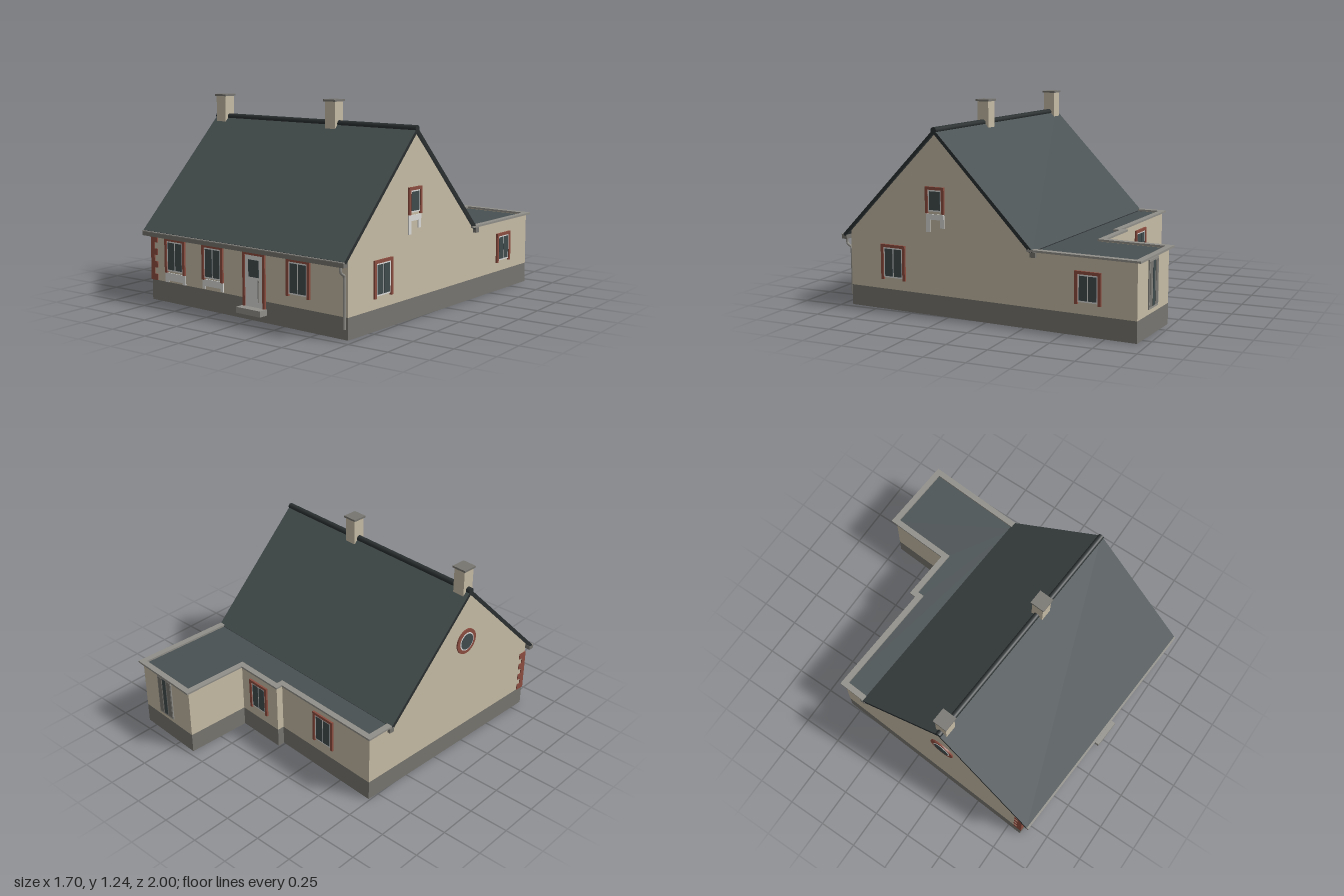
import * as THREE from 'three';

const mat = (name, color, side = THREE.FrontSide) => {
  const m = new THREE.MeshStandardMaterial({ color, side });
  m.name = name;
  return m;
};

export function createModel() {
  const wall = mat('beige render', 0xc6bba5, THREE.DoubleSide);
  const plinthMat = mat('plinth grey', 0x777570, THREE.DoubleSide);
  const slate = mat('slate', 0x495152);
  const trim = mat('dark trim', 0x2b3031);
  const brick = mat('brick red', 0x8c4d40);
  const white = mat('white paint', 0xdadad8);
  const glass = mat('glass', 0x414b4d);
  const grey = mat('light grey', 0x918f89);

  const house = new THREE.Group();
  house.name = 'house';

  const add = (parent, name, geo, material, x = 0, y = 0, z = 0) => {
    const m = new THREE.Mesh(geo, material);
    m.name = name;
    m.position.set(x, y, z);
    parent.add(m);
    return m;
  };
  const box = (parent, name, material, w, h, d, x, y, z) =>
    add(parent, name, new THREE.BoxGeometry(w, h, d), material, x, y, z);
  const shape = (pts) => new THREE.Shape(pts.map(([a, b]) => new THREE.Vector2(a, b)));
  // upright profile given as [z, y], extruded along x
  const extrudeX = (pts, len) =>
    new THREE.ExtrudeGeometry(shape(pts), { depth: len, bevelEnabled: false }).rotateY(-Math.PI / 2).translate(len, 0, 0);
  // floor outline given as [x, z], extruded upward
  const extrudeY = (pts, h) =>
    new THREE.ExtrudeGeometry(shape(pts.map(([x, z]) => [x, -z])), { depth: h, bevelEnabled: false }).rotateX(-Math.PI / 2);

  // Main dimensions
  const L = -0.775, R = 0.765, F = 0.893, ridgeZ = 0.283, plinthH = 0.125, flatH = 0.45;

  // Outline of the house, anticlockwise seen from above
  const plan = [[L, F], [R, F], [R, -0.99], [0.306, -0.99], [0.306, -0.57],
    [-0.022, -0.57], [-0.022, -0.525], [L, -0.525]];
  plan.forEach(([x0, z0], i) => {
    const [x1, z1] = plan[(i + 1) % plan.length];
    const len = Math.hypot(x1 - x0, z1 - z0);
    const strip = (name, material, y0, y1) => {
      const m = add(house, name, new THREE.PlaneGeometry(len, y1 - y0), material,
        (x0 + x1) / 2, (y0 + y1) / 2, (z0 + z1) / 2);
      m.rotation.y = Math.atan2(-(z1 - z0), x1 - x0);
    };
    strip('plinth', plinthMat, 0, plinthH);
    if (i !== 1 && i !== 7) strip('wall', wall, plinthH, i === 0 ? 0.46 : flatH);
  });

  // Gable walls running on into the rear extension
  for (const [x, back, name] of [[L, -0.525, 'leftGable'], [R, -0.99, 'rightGable']]) {
    const g = new THREE.ShapeGeometry(shape([[F, plinthH], [F, 0.462], [ridgeZ, 1.078],
      [-0.34, flatH], [back, flatH], [back, plinthH]])).rotateY(-Math.PI / 2);
    add(house, name, g, wall, x);
  }

  // Pitched roof with dark verges, and pale lining beneath
  add(house, 'pitchedRoof', extrudeX([[0.943, 0.438], [ridgeZ, 1.108], [-0.362, 0.452],
    [-0.35, 0.432], [ridgeZ, 1.08], [0.93, 0.422]], 1.573), [trim, slate], -0.793);
  for (const [name, z, y] of [['frontLining', F, 0.452], ['rearLining', -0.34, 0.438]]) {
    const dz = z - ridgeZ, dy = y - 1.074;
    const g = new THREE.PlaneGeometry(R - L, Math.hypot(dz, dy)).rotateX(Math.atan2(dz, -dy) * -1);
    add(house, name, g, wall, (L + R) / 2, (y + 1.074) / 2, (z + ridgeZ) / 2);
  }
  const ridge = add(house, 'ridgeCap', new THREE.CylinderGeometry(0.019, 0.019, 1.574, 12), trim, -0.0065, 1.1, ridgeZ);
  ridge.rotation.z = Math.PI / 2;

  // Flat rear roof and its parapet coping
  const flat = [[-0.765, -0.33], [-0.765, -0.515], [-0.012, -0.515], [-0.012, -0.56],
    [0.316, -0.56], [0.316, -0.98], [0.755, -0.98], [0.755, -0.33]];
  add(house, 'flatRoof', extrudeY(flat, 0.01), slate, 0, 0.435);
  add(house, 'flatCeiling', extrudeY(flat, 0.003), wall, 0, 0.431);
  add(house, 'coping', extrudeY([[-0.793, -0.36], [-0.793, -0.545], [-0.042, -0.545], [-0.042, -0.589],
    [0.286, -0.589], [0.286, -1.014], [0.782, -1.014], [0.782, -0.32],
    [0.744, -0.32], [0.744, -0.976], [0.324, -0.976], [0.324, -0.551],
    [-0.004, -0.551], [-0.004, -0.507], [-0.755, -0.507], [-0.755, -0.36]], 0.012), grey, 0, 0.448);

  // Chimneys
  for (const x of [-0.727, 0.174]) {
    box(house, 'chimney', wall, 0.078, 0.21, 0.078, x, 1.125, ridgeZ);
    box(house, 'chimneyCap', plinthMat, 0.094, 0.012, 0.094, x, 1.236, ridgeZ);
  }

  // Gutters and downpipe
  box(house, 'frontGutter', plinthMat, 1.573, 0.026, 0.035, -0.0065, 0.42, 0.935);
  box(house, 'gutterRim', grey, 1.573, 0.005, 0.012, -0.0065, 0.434, 0.949);
  for (const x of [-0.785, 0.775]) box(house, 'rearGutterEnd', plinthMat, 0.022, 0.03, 0.035, x, 0.432, -0.362);
  const pipe = new THREE.CatmullRomCurve3([[0.42, 0.935], [0.375, 0.935], [0.355, 0.907], [0.32, 0.904], [0.06, 0.904]]
    .map(([y, z]) => new THREE.Vector3(0.749, y, z)), false, 'centripetal');
  add(house, 'downpipe', new THREE.TubeGeometry(pipe, 24, 0.008, 8), grey);

  // An opening faces +z before it is turned to its wall
  const opening = (name, x, z, turn) => {
    const g = new THREE.Group();
    g.name = name;
    g.position.set(x, 0, z);
    g.rotation.y = turn;
    house.add(g);
    return g;
  };
  const surround = (g, w, y0, y1, t = 0.018) => {
    box(g, 'lintel', brick, w, t, 0.018, 0, y1 - t / 2, 0.003);
    for (const s of [-1, 1]) box(g, 'jamb', brick, t, y1 - y0 - t, 0.018, s * (w - t) / 2, (y0 + y1 - t) / 2, 0.003);
  };
  const windowAt = (name, x, z, turn, w, y0, y1, panes = 2) => {
    const g = opening(name, x, z, turn);
    surround(g, w, y0, y1);
    const fw = w - 0.036, b = y0 + 0.012, t = y1 - 0.018;
    box(g, 'frame', white, fw, t - b, 0.014, 0, (b + t) / 2, 0);
    const pw = (fw - 0.01) / panes;
    for (let i = 0; i < panes; i++)
      box(g, 'pane', glass, pw - 0.008, t - b - 0.018, 0.018, -fw / 2 + 0.005 + pw * (i + 0.5), (b + t) / 2, 0);
    return g;
  };
  // White apron below a sill, notched at the bottom
  const apron = (g, w, y0, y1, notch, leg, short = 0) => {
    const h = w / 2;
    const s = shape([[-h, y0], [-h, y1], [h, y1], [h, y0 + short], [h - leg, y0 + short],
      [h - leg, notch], [-h + leg, notch], [-h + leg, y0]]);
    add(g, 'apron', new THREE.ExtrudeGeometry(s, { depth: 0.006, bevelEnabled: false }), white);
  };

  const q = Math.PI / 2;
  apron(windowAt('frontWindow', -0.565, F, 0, 0.172, 0.185, 0.4), 0.175, 0.126, 0.185, 0.138, 0.028);
  apron(windowAt('frontWindow', -0.246, F, 0, 0.172, 0.185, 0.4), 0.17, 0.13, 0.19, 0.148, 0.022);
  windowAt('frontWindow', 0.417, F, 0, 0.172, 0.185, 0.4);
  apron(windowAt('gableWindow', R, ridgeZ + 0.003, q, 0.128, 0.612, 0.77, 1), 0.122, 0.5, 0.608, 0.575, 0.027, 0.028);
  windowAt('sideWindow', R, 0.585, q, 0.17, 0.185, 0.4);
  windowAt('wingWindow', R, -0.698, q, 0.16, 0.182, 0.37);
  windowAt('rearWindow', -0.39, -0.525, 2 * q, 0.17, 0.19, 0.4);
  windowAt('bayWindow', 0.147, -0.57, 2 * q, 0.16, 0.185, 0.39);

  // Round window in the left gable
  const round = opening('roundWindow', L, ridgeZ, -q);
  const disc = (name, r, d, material) => {
    add(round, name, new THREE.CylinderGeometry(r, r, d, 32).rotateX(q), material, 0, 0.75, 0);
  };
  disc('brickRing', 0.083, 0.018, brick);
  disc('roundFrame', 0.06, 0.022, white);
  disc('roundPane', 0.052, 0.026, glass);

  // Front door with step
  const door = opening('frontDoor', 0.086, F, 0);
  surround(door, 0.172, 0.08, 0.4);
  box(door, 'doorLeaf', white, 0.137, 0.302, 0.014, 0, 0.231, 0);
  box(door, 'doorPane', glass, 0.08, 0.1, 0.018, -0.001, 0.305, 0);
  box(door, 'doorPull', grey, 0.006, 0.13, 0.008, 0.044, 0.18, 0.016);
  box(door, 'doorKnob', grey, 0.014, 0.008, 0.012, 0.044, 0.235, 0.012);
  box(house, 'doorStep', grey, 0.186, 0.035, 0.06, 0.086, 0.062, F + 0.03);

  // Glazed panel at the back of the wing
  const rear = opening('rearPanel', 0.548, -0.99, Math.PI);
  box(rear, 'panelFrame', grey, 0.135, 0.28, 0.016, 0, 0.295, 0);
  for (const x of [-0.043, 0, 0.043])
    box(rear, 'panelPane', x ? plinthMat : glass, 0.033, 0.255, 0.02, x, 0.295, 0);

  // Toothed brick corner at the front left
  for (let i = 0; i < 7; i++) {
    const w = i % 2 ? 0.032 : 0.058, h = 0.0393, y = plinthH + h * (i + 0.5);
    box(house, 'cornerBrick', brick, w, h, 0.01, L - 0.004 + w / 2, y, F);
    box(house, 'cornerBrick', brick, 0.01, h, w, L, y, F + 0.004 - w / 2);
  }

  // The house stands at a slight turn
  house.rotation.y = -0.063;
  const model = new THREE.Group();
  model.name = 'cottage';
  model.add(house);
  return model;
}
